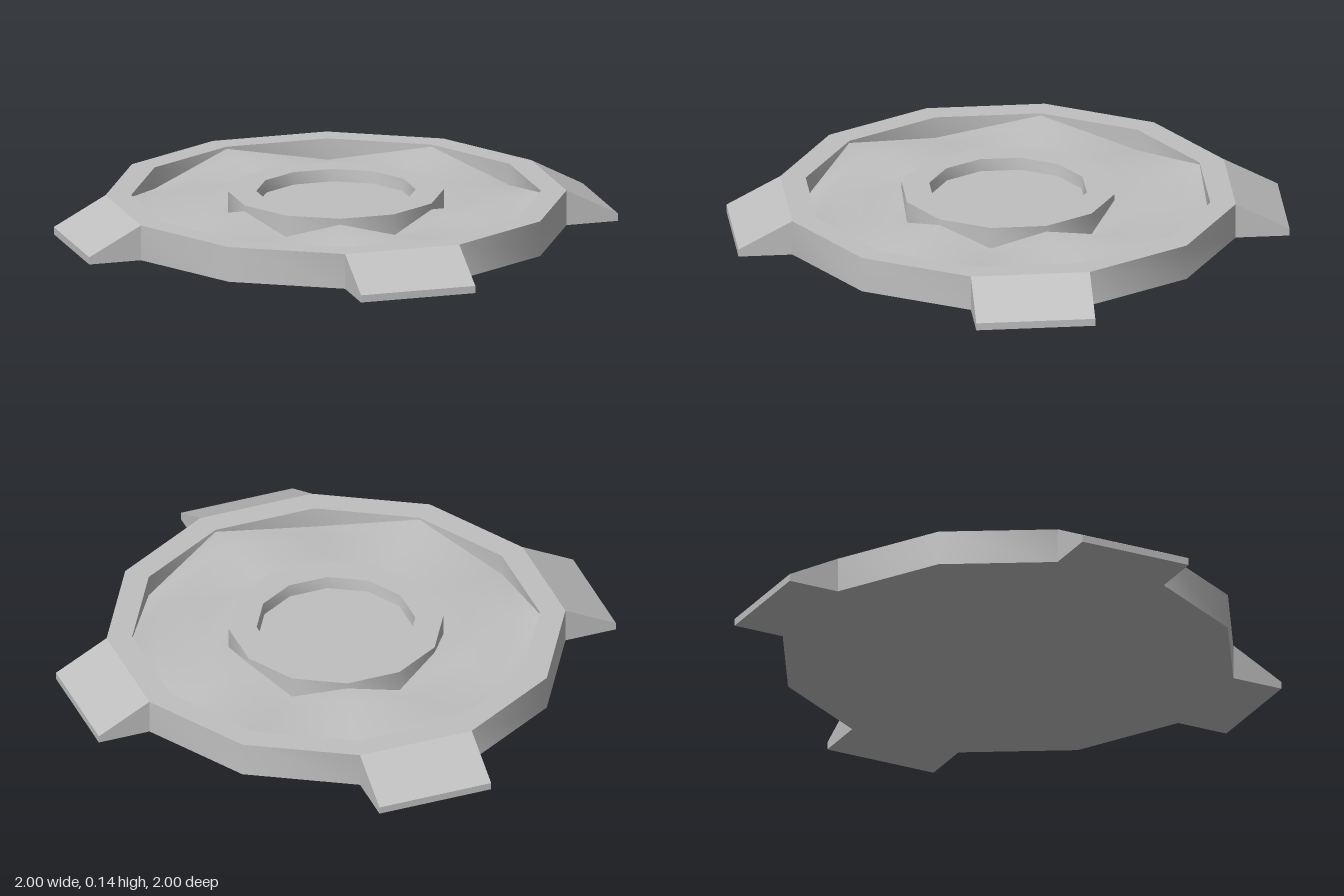
import * as THREE from 'three';
import { toCreasedNormals } from 'three/addons/utils/BufferGeometryUtils.js';

const SIDES = 12;

// Twelve-sided turned solid with flat sides facing the four axes
function turned(profile) {
  const points = profile.map(([r, y]) => new THREE.Vector2(r, y));
  return new THREE.LatheGeometry(points, SIDES, Math.PI / SIDES);
}

export function createModel() {
  const group = new THREE.Group();
  const metal = new THREE.MeshStandardMaterial({ color: 0xc0c0c0 });
  metal.name = 'light grey metal';

  const add = (name, geometry) => {
    const mesh = new THREE.Mesh(geometry, metal);
    mesh.name = name;
    group.add(mesh);
    return mesh;
  };

  // Base plate and raised outer rim
  add('rim', toCreasedNormals(turned([
    [0, 0], [0.833, 0], [0.833, 0.13], [0.74, 0.13], [0.74, 0.03],
  ]), 0.6));

  // Hub with a shallow recess
  add('hub', toCreasedNormals(turned([
    [0.39, 0.03], [0.39, 0.14], [0.288, 0.14], [0.283, 0.095], [0, 0.095],
  ]), 0.6));

  // Twisted fan blades: rim and hub ends rise and fall in opposite turns
  const rows = 4;
  const profile = [];
  for (let j = 0; j <= rows; j++) profile.push([0.74 - 0.35 * j / rows, 0.08]);
  const blades = turned(profile);
  const pos = blades.attributes.position;
  for (let i = 0; i <= SIDES; i++) {
    const high = i % 2 === 0;
    for (let j = 0; j <= rows; j++) {
      const outer = high ? 0.122 : 0.05;
      const inner = high ? 0.06 : 0.118;
      pos.setY(i * (rows + 1) + j, THREE.MathUtils.lerp(outer, inner, j / rows));
    }
  }
  add('fanBlades', toCreasedNormals(blades, 1.2));

  // Four sloping lugs around the rim
  const wedge = new THREE.Shape([
    new THREE.Vector2(0.79, 0), new THREE.Vector2(1, 0),
    new THREE.Vector2(1, 0.027), new THREE.Vector2(0.805, 0.13),
    new THREE.Vector2(0.79, 0.13),
  ]);
  const lug = new THREE.ExtrudeGeometry(wedge, { depth: 0.432, bevelEnabled: false });
  lug.translate(0, 0, -0.216);
  for (let k = 0; k < 4; k++) add('lug' + (k + 1), lug).rotation.y = k * Math.PI / 2;

  return group;
}
